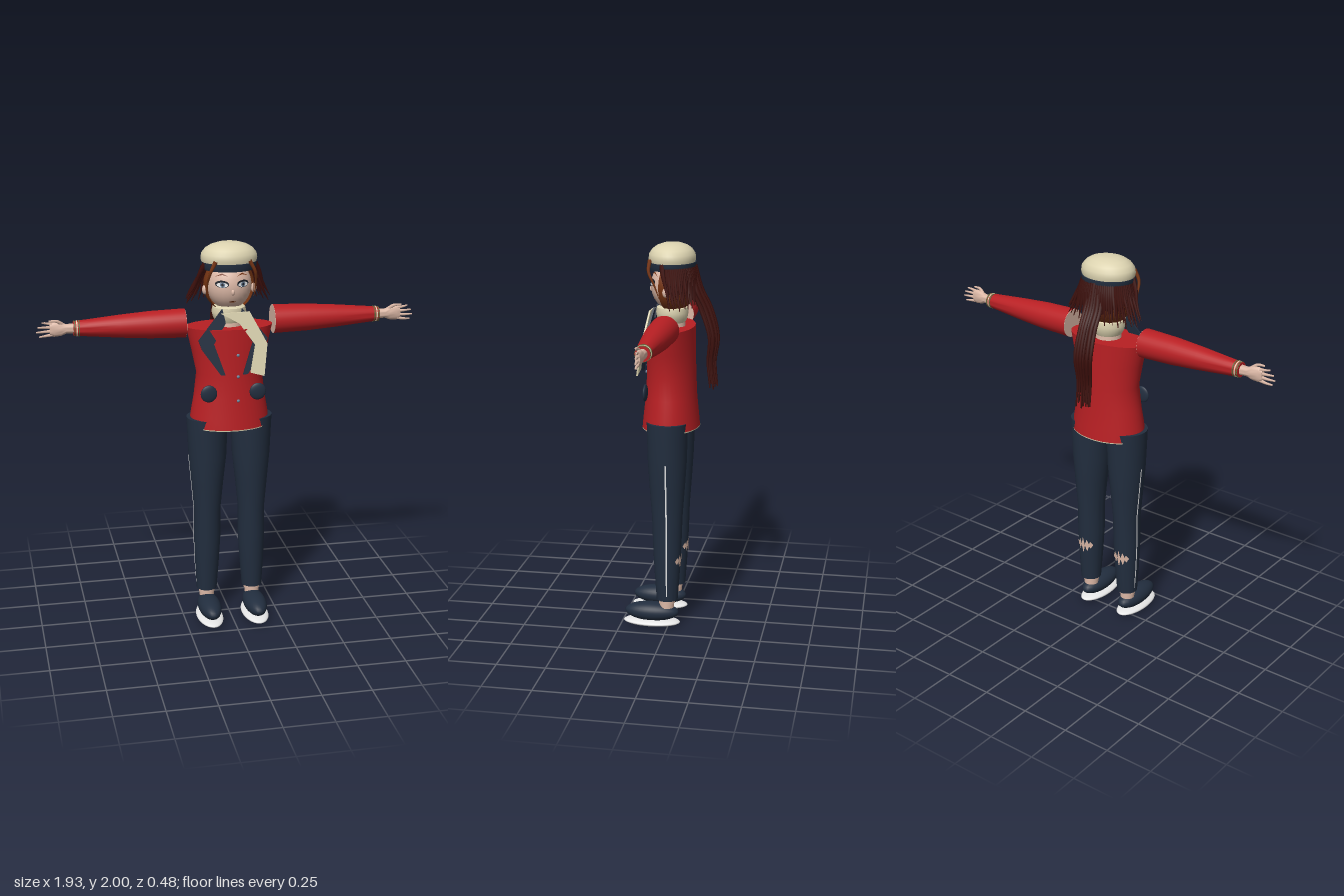
import * as THREE from 'three';
import { mergeVertices, mergeGeometries, toCreasedNormals } from 'three/addons/utils/BufferGeometryUtils.js';

const V = (x, y, z) => new THREE.Vector3(x, y, z);
const mat = (name, color) => {
  const m = new THREE.MeshStandardMaterial({ color });
  m.name = name;
  return m;
};

// Elliptical loft along y; rings are [y, radiusX, radiusZ, centreX, centreZ]
function loft(rings, sides = 32) {
  const n = rings.length;
  const g = new THREE.LatheGeometry(rings.map(r => new THREE.Vector2(1, r[0])), sides);
  const p = g.attributes.position;
  for (let i = 0; i < p.count; i++) {
    const [y, rx, rz, cx = 0, cz = 0] = rings[i % n];
    p.setXYZ(i, p.getX(i) * rx + cx, y, p.getZ(i) * rz + cz);
  }
  g.deleteAttribute('uv');
  g.deleteAttribute('normal');
  return toCreasedNormals(mergeVertices(g, 1e-5), 0.8);
}
const capped = rings => {
  const end = r => [r[0], 0.0002, 0.0002, r[3], r[4]];
  return [end(rings[0]), ...rings, end(rings[rings.length - 1])];
};

// Tube along a curve whose radius follows a rule of t
function strand(points, radius, taper = t => 1 - 0.9 * t, segments = 14, sides = 6) {
  const curve = new THREE.CatmullRomCurve3(points);
  const g = new THREE.TubeGeometry(curve, segments, radius, sides);
  const p = g.attributes.position, v = V(0, 0, 0);
  for (let i = 0; i < p.count; i++) {
    const t = Math.floor(i / (sides + 1)) / segments;
    const c = curve.getPointAt(t);
    v.fromBufferAttribute(p, i).sub(c).multiplyScalar(taper(t)).add(c);
    p.setXYZ(i, v.x, v.y, v.z);
  }
  return g;
}

const shapeOf = pts => new THREE.Shape(pts.map(q => new THREE.Vector2(q[0], q[1])));
const disc = (x, y, rx, ry) => Array.from({ length: 16 }, (_, i) => {
  const a = i / 16 * Math.PI * 2;
  return [x + rx * Math.cos(a), y + ry * Math.sin(a)];
});
// Thin flat shape laid on a surface z = f(x, y)
function decal(pts, f) {
  const g = new THREE.ShapeGeometry(shapeOf(pts)), p = g.attributes.position;
  for (let i = 0; i < p.count; i++) p.setZ(i, f(p.getX(i), p.getY(i)));
  g.computeVertexNormals();
  return g;
}
// Cloth plate that leans forward as it goes down
function plate(pts, lift) {
  const g = new THREE.ExtrudeGeometry(shapeOf(pts), { depth: 0.009, bevelEnabled: false });
  const p = g.attributes.position;
  for (let i = 0; i < p.count; i++) p.setZ(i, p.getZ(i) + lift + 0.17 * (1.66 - p.getY(i)));
  g.computeVertexNormals();
  return g;
}

export function createModel() {
  const root = new THREE.Group();
  root.name = 'figure';
  const skin = mat('skin', 0xdcb8a6), red = mat('jacket red', 0xb81f23), navy = mat('navy', 0x222e3f);
  const cream = mat('cream', 0xdcd3b0), brown = mat('brown hair', 0x743413), dark = mat('dark red hair', 0x3d0f0b);
  const white = mat('white', 0xe8e8e8), ink = mat('ink', 0x1b2028), olive = mat('olive', 0x66683c), steel = mat('steel blue', 0x6d8299);
  const add = (parent, name, geometry, material) => {
    const m = new THREE.Mesh(geometry, material);
    m.name = name;
    parent.add(m);
    return m;
  };
  const group = name => {
    const g = new THREE.Group();
    g.name = name;
    root.add(g);
    return g;
  };
  const ball = (parent, name, m, x, y, z, rx, ry, rz) => {
    const b = add(parent, name, new THREE.SphereGeometry(1, 28, 18), m);
    b.position.set(x, y, z);
    b.scale.set(rx, ry, rz);
    return b;
  };

  // Jacket
  const jacket = group('jacket');
  add(jacket, 'jacketBody', loft(capped([
    [1.06, 0.204, 0.146, 0, 0.005], [1.12, 0.2, 0.14, 0, 0.005], [1.22, 0.182, 0.13, 0, 0.004],
    [1.34, 0.168, 0.124, 0, 0.003], [1.46, 0.193, 0.122, 0, 0.004], [1.58, 0.22, 0.12, 0, 0.005]]), 40), red);
  add(jacket, 'hemPiping', loft([[1.06, 0.205, 0.147, 0, 0.005], [1.065, 0.2055, 0.1475, 0, 0.005]], 40), cream);
  for (const y of [1.45, 1.34, 1.215]) ball(jacket, 'button', steel, 0.022, y, 0.13 + (1.34 - y) * 0.03, 0.008, 0.008, 0.006);
  for (const s of [-1, 1]) {
    ball(jacket, 'pocket', navy, s * 0.125, 1.255, 0.117, 0.042, 0.044, 0.012);
    add(jacket, 'lapel', plate([[-0.05, 1.68], [-0.175, 1.53], [-0.16, 1.485], [-0.068, 1.355], [-0.045, 1.355],
      [-0.098, 1.51], [-0.035, 1.61]].map(([x, y]) => [-s * x, y]), 0.083), navy);
  }

  // Neck and scarf
  const scarf = group('scarf');
  add(scarf, 'neck', new THREE.CylinderGeometry(0.06, 0.068, 0.1, 24).translate(0, 1.61, 0), skin);
  add(scarf, 'scarfWrap', loft(capped([[1.6, 0.068, 0.066], [1.62, 0.08, 0.076], [1.65, 0.088, 0.082],
    [1.675, 0.082, 0.078], [1.685, 0.06, 0.06]])), cream);
  add(scarf, 'scarfTail', plate([[-0.06, 1.66], [0.085, 1.665], [0.17, 1.505], [0.15, 1.345], [0.08, 1.365],
    [0.108, 1.5], [0.03, 1.61]], 0.096), cream);

  // Arms, built along +y and laid out sideways
  for (const s of [-1, 1]) {
    const arm = group(s > 0 ? 'leftArm' : 'rightArm');
    const inner = new THREE.Group();
    inner.rotation.z = -Math.PI / 2;
    arm.add(inner);
    arm.position.y = 1.597;
    if (s < 0) arm.rotation.y = Math.PI;
    add(inner, 'sleeve', loft([[0.225, 0.073, 0.074], [0.4, 0.068, 0.069], [0.55, 0.057, 0.058], [0.7, 0.043, 0.044],
      [0.78, 0.036, 0.036], [0.7801, 0.0002, 0.0002]]), red);
    add(inner, 'shoulderEnd', loft(capped([[0.224, 0.0725, 0.0735], [0.228, 0.0725, 0.0735]])), skin);
    [olive, cream, olive].forEach((m, i) => {
      const x = 0.75 + i * 0.011, r = 0.0405 - i * 0.001;
      add(inner, 'cuffStripe', loft(capped([[x, r, r], [x + 0.006, r, r]])), m);
    });
    add(inner, 'hand', loft(capped([[0.775, 0.025, 0.024], [0.815, 0.024, 0.02], [0.84, 0.034, 0.019],
      [0.875, 0.038, 0.015], [0.895, 0.03, 0.011]]), 20), skin);
    for (let i = 0; i < 4; i++) {
      const o = (i - 1.5) * 0.017, tip = [0.935, 0.955, 0.963, 0.95][i];
      add(inner, 'finger', strand([V(o, 0.875, 0), V(o * 1.25, 0.915, 0.002), V(o * 1.4, tip, -0.003)],
        0.0095, t => 1 - 0.6 * t, 8), skin);
    }
    add(inner, 'thumb', strand([V(-0.02, 0.83, 0), V(-0.042, 0.86, s * 0.01), V(-0.044, 0.9, s * 0.012)],
      0.011, t => 1 - 0.6 * t, 8), skin);
  }

  // Legs and shoes
  const legRings = [[0.15, 0.053, 0.055, 0.122], [0.3, 0.063, 0.066, 0.12], [0.45, 0.07, 0.074, 0.118], [0.6, 0.069, 0.079, 0.117],
    [0.75, 0.083, 0.09, 0.116], [0.9, 0.098, 0.1, 0.114], [1.105, 0.106, 0.105, 0.115]];
  const diamonds = [[0, 0.37, 0.011, 0.05], [-0.022, 0.372, 0.013, 0.033], [0.022, 0.372, 0.013, 0.037],
    [-0.039, 0.372, 0.011, 0.02], [0.039, 0.374, 0.011, 0.022]];
  for (const s of [-1, 1]) {
    const leg = group(s > 0 ? 'leftLeg' : 'rightLeg');
    const rings = legRings.map(([y, rx, rz, cx]) => [y, rx, rz, s * cx, 0.006]);
    add(leg, 'trouserLeg', loft(capped(rings)), navy);
    // Side stripe following the outer seam
    const stripe = loft(rings.slice(0, 6).map(([y, rx, rz, cx]) => [Math.max(y, 0.18), 0.002, 0.004, cx + s * rx, 0]), 6);
    add(leg, 'sideStripe', stripe, white);
    // Ragged tears on the calf
    const tears = diamonds.map(([x, y, w, h]) => decal([[x - w, y], [x, y - h], [x + w, y], [x, y + h]],
      (px, py) => {
        const k = (py - 0.3) / 0.15;
        return 0.003 + (0.066 + 0.008 * k) * Math.sqrt(1 - (px / (0.063 + 0.007 * k)) ** 2);
      }));
    const tear = add(leg, 'calfTear', mergeGeometries(tears), skin);
    tear.rotation.y = Math.PI;
    tear.position.set(s * 0.119, 0, 0.006);
    add(leg, 'ankle', new THREE.CylinderGeometry(0.038, 0.038, 0.07, 24).translate(s * 0.122, 0.14, 0.008), skin);
    add(leg, 'ankleCuff', new THREE.CylinderGeometry(0.042, 0.042, 0.018, 24).translate(s * 0.122, 0.138, 0.008), skin);
    ball(leg, 'shoe', navy, s * 0.122, 0.075, 0.088, 0.059, 0.05, 0.142);
    ball(leg, 'sole', white, s * 0.122, 0.02, 0.088, 0.069, 0.02, 0.15);
  }

  // Head and face
  const head = group('head');
  ball(head, 'face', skin, 0, 1.785, 0, 0.113, 0.125, 0.107);
  const faceZ = lift => (x, y) => lift + 0.107 * Math.sqrt(Math.max(0, 1 - (x / 0.113) ** 2 - ((y - 1.785) / 0.125) ** 2));
  ball(head, 'nose', skin, 0, 1.765, 0.104, 0.009, 0.015, 0.011);
  add(head, 'mouth', decal([[-0.022, 1.715], [0, 1.71], [0.022, 1.715], [0, 1.72]], faceZ(0.003)), brown);
  for (const s of [-1, 1]) {
    const x = s * 0.052;
    add(head, 'eyeOutline', decal(disc(x, 1.806, 0.032, 0.018), faceZ(0.003)), ink);
    add(head, 'eyeWhite', decal(disc(x, 1.803, 0.026, 0.012), faceZ(0.0045)), white);
    add(head, 'iris', decal(disc(x, 1.804, 0.012, 0.012), faceZ(0.006)), steel);
    add(head, 'pupil', decal(disc(x, 1.804, 0.006, 0.007), faceZ(0.0075)), ink);
    add(head, 'eyebrow', decal([[s * 0.02, 1.843], [s * 0.05, 1.85], [s * 0.085, 1.838], [s * 0.05, 1.857]], faceZ(0.005)), brown);
    ball(head, 'ear', skin, s * 0.124, 1.765, 0.012, 0.014, 0.024, 0.017);
  }

  // Hat
  add(head, 'hatBand', loft(capped([[1.868, 0.132, 0.117], [1.885, 0.139, 0.121], [1.905, 0.139, 0.121]])), navy);
  add(head, 'hatCrown', loft(capped([[1.898, 0.136, 0.113], [1.92, 0.142, 0.118], [1.945, 0.138, 0.115], [1.968, 0.12, 0.1],
    [1.985, 0.092, 0.076], [1.996, 0.054, 0.045], [2, 0.012, 0.01]]), 40), cream);

  // Hair: cap, flared back strands, face locks and a long tail
  const hair = group('hair');
  const cap = add(hair, 'hairCap', new THREE.SphereGeometry(1, 32, 20, Math.PI - 0.45, Math.PI + 0.9), brown);
  cap.material.side = THREE.DoubleSide;
  cap.position.y = 1.785;
  cap.scale.set(0.128, 0.135, 0.118);
  const back = [];
  for (let i = 0; i < 42; i++) {
    const a = (i / 41 - 0.5) * Math.PI * 1.06, sx = Math.sin(a), cz = -Math.cos(a);
    const drop = 0.02 * Math.sin(i * 2.4), side = sx * sx;
    back.push(strand([V(sx * 0.122, 1.9, cz * 0.108), V(sx * (0.138 + 0.01 * side), 1.83, cz * 0.122 - 0.01 * side),
      V(sx * (0.142 + 0.035 * side), 1.765 + drop, cz * 0.126 - 0.02 * side),
      V(sx * (0.145 + 0.065 * side), 1.705 + drop, cz * 0.127 - 0.035 * side)], 0.0105, t => 1 - 0.85 * t * t));
  }
  add(hair, 'backStrands', mergeGeometries(back), dark);
  for (const s of [-1, 1]) {
    add(hair, 'frontLock', strand([V(s * 0.085, 1.92, 0.098), V(s * 0.112, 1.865, 0.1), V(s * 0.122, 1.8, 0.07),
      V(s * 0.118, 1.73, 0.045)], 0.011), brown);
    add(hair, 'sideLock', strand([V(s * 0.125, 1.9, 0.03), V(s * 0.15, 1.85, 0.02), V(s * 0.175, 1.78, 0),
      V(s * 0.215, 1.715, -0.02)], 0.014), dark);
  }
  const tail = [];
  for (let i = 0; i < 18; i++) {
    const a = i * 2.4, r = Math.sqrt((i + 0.5) / 18), ox = r * Math.cos(a), oz = r * Math.sin(a);
    tail.push(strand([V(ox * 0.03, 1.89, -0.095 + oz * 0.02), V(ox * 0.045, 1.77, -0.125 + oz * 0.025),
      V(ox * 0.045, 1.67, -0.17 + oz * 0.03), V(ox * 0.05, 1.53, -0.21 + oz * 0.025),
      V(ox * 0.042, 1.4, -0.2 + oz * 0.022), V(ox * 0.045, 1.26 + 0.035 * Math.abs(Math.sin(i * 1.7)), -0.212 + oz * 0.022)],
      0.0125, t => 1 - 0.7 * t * t, 24));
  }
  add(hair, 'ponytail', mergeGeometries(tail), dark);
  return root;
}
